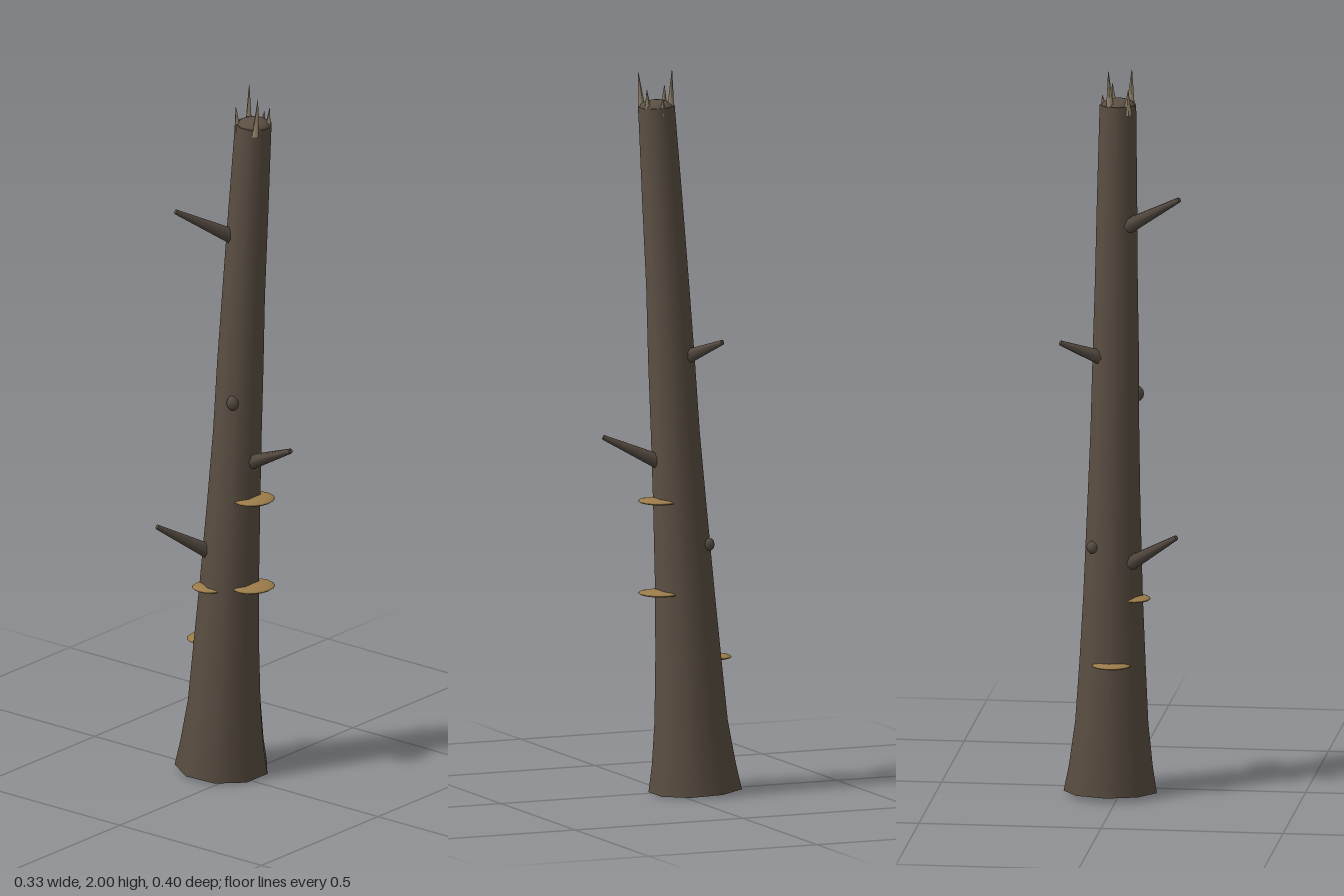
import * as THREE from 'three';

const paint = (name, color) => {
  const m = new THREE.MeshStandardMaterial({ color });
  m.name = name;
  return m;
};

export function createModel() {
  const model = new THREE.Group();
  const bark = paint('bark', 0x5c5044);
  const branchWood = paint('branchWood', 0x544a41);
  const splinterWood = paint('splinterWood', 0x9a8c70);
  const fungus = paint('fungus', 0x9c7c4a);

  const add = (name, geometry, material) => {
    const mesh = new THREE.Mesh(geometry, material);
    mesh.name = name;
    model.add(mesh);
    return mesh;
  };

  // Leaning, flared trunk: [height, centre x, centre z, radius]
  const rings = [
    [0.008, 0.025, -0.07, 0.13], [0.08, 0.024, -0.066, 0.117], [0.2, 0.023, -0.058, 0.102],
    [0.37, 0.022, -0.05, 0.092], [0.55, 0.022, -0.04, 0.083], [0.8, 0.022, -0.024, 0.074],
    [1.0, 0.021, -0.011, 0.068], [1.2, 0.02, 0, 0.065], [1.4, 0.02, 0.011, 0.06],
    [1.65, 0.02, 0.028, 0.056], [1.9, 0.02, 0.045, 0.051],
  ];
  const last = rings.length - 1;
  const trunk = new THREE.CylinderGeometry(1, 1, last, 9, last, false, Math.PI);
  const p = trunk.attributes.position;
  for (let i = 0; i < p.count; i++) {
    const [y, cx, cz, r] = rings[Math.round(p.getY(i) + last / 2)];
    const dz = p.getZ(i) * r;
    p.setXYZ(i, cx + p.getX(i) * r, y - dz * 0.055, cz + dz);
  }
  add('trunk', trunk, bark);

  // Rounded broken end
  const crown = add('brokenTop', new THREE.SphereGeometry(0.048, 12, 4, 0, Math.PI * 2, 0, Math.PI / 2), bark);
  crown.scale.y = 0.45;
  crown.position.set(0.02, 1.896, 0.045);

  // Tapered piece running between two points
  const up = new THREE.Vector3(0, 1, 0);
  const taper = (name, from, to, r0, r1, sides, material) => {
    const a = new THREE.Vector3(...from), b = new THREE.Vector3(...to);
    const d = b.clone().sub(a);
    const mesh = add(name, new THREE.CylinderGeometry(r1, r0, d.length(), sides), material);
    mesh.position.copy(a).add(b).multiplyScalar(0.5);
    mesh.quaternion.setFromUnitVectors(up, d.normalize());
  };

  // Broken branches
  [
    [[0.0, 1.565, 0.0], [-0.163, 1.668, -0.08]],
    [[0.04, 1.2, -0.022], [0.163, 1.26, -0.088]],
    [[0.018, 0.91, 0.02], [-0.003, 0.992, 0.194]],
    [[-0.01, 0.635, -0.07], [-0.163, 0.738, -0.146]],
  ].forEach(([a, b]) => taper('branch', a, b, 0.023, 0.007, 7, branchWood));

  // Splinters around the broken end
  [
    [-0.01, 0.075, -0.012, 0.086, 1.99], [0.038, 0.012, 0.043, 0.01, 2.0],
    [-0.008, 0.012, -0.012, 0.008, 1.95], [0.038, 0.078, 0.041, 0.084, 1.95],
    [0.058, 0.046, 0.064, 0.046, 1.925],
  ].forEach(([x, z, tx, tz, top]) =>
    taper('splinter', [x, 1.88, z], [tx, top, tz], 0.012, 0.0008, 4, splinterWood));

  // Knots on the bark
  [[-0.036, 1.1, 0.018, 1.2], [0.074, 0.69, -0.085, 1]].forEach(([x, y, z, tall]) => {
    const knot = add('knot', new THREE.SphereGeometry(0.018, 8, 6), branchWood);
    knot.scale.y = tall;
    knot.position.set(x, y, z);
  });

  // Shelf fungi: [x, y, z, radius x, radius z]
  [
    [0.024, 0.81, 0.042, 0.062, 0.055], [0.024, 0.556, 0.04, 0.064, 0.056],
    [-0.04, 0.546, -0.065, 0.042, 0.048], [0.018, 0.37, -0.124, 0.053, 0.05],
  ].forEach(([x, y, z, rx, rz]) => {
    const shelf = add('shelfFungus', new THREE.SphereGeometry(1, 16, 8), fungus);
    shelf.scale.set(rx, 0.008, rz);
    shelf.position.set(x, y, z);
  });

  return model;
}
